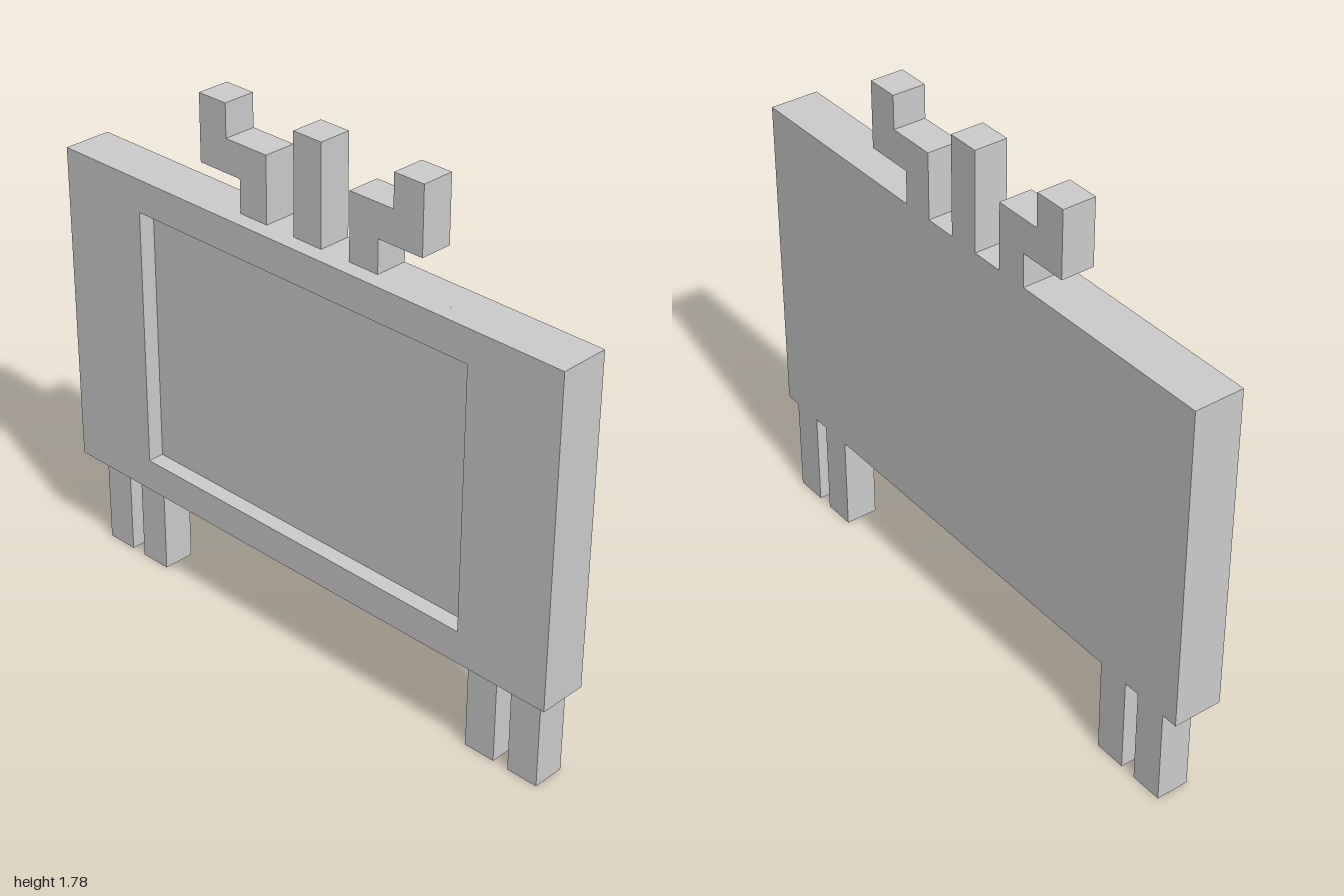
import * as THREE from 'three';

// Everything sits on a grid of 1/18 unit
const U = 1 / 18;
const BACK = -1.5, MID = 0.5, FRONT = 1.5;

const material = new THREE.MeshStandardMaterial({ color: 0xcccccc, flatShading: true });

// Extrudes an outline (grid units) between two depths, with an optional hole
function slab(name, outline, z0, z1, hole) {
  const toPoints = (list) => list.map(([x, y]) => new THREE.Vector2(x * U, y * U));
  const shape = new THREE.Shape(toPoints(outline));
  if (hole) shape.holes.push(new THREE.Path(toPoints(hole)));
  const geometry = new THREE.ExtrudeGeometry(shape, { depth: (z1 - z0) * U, bevelEnabled: false });
  geometry.translate(0, 0, z0 * U);
  const mesh = new THREE.Mesh(geometry, material);
  mesh.name = name;
  return mesh;
}

const rect = (x0, y0, x1, y1) => [[x0, y0], [x1, y0], [x1, y1], [x0, y1]];
const mirror = (outline) => outline.map(([x, y]) => [-x, y]).reverse();

export function createModel() {
  const model = new THREE.Group();
  model.name = 'screenOnLegs';

  // Body: solid back panel with a raised frame around the recessed screen
  const body = rect(-18, 6, 18, 26);
  model.add(slab('backPanel', body, BACK, MID));
  model.add(slab('screenFrame', body, MID, FRONT, rect(-12, 8, 12, 24)));

  // Two pairs of legs, flush with the back
  const innerLeg = rect(12, 0, 14, 6);
  const outerLeg = rect(15, 0, 17, 6);
  // Stepped antenna, mirrored to the other side
  const antenna = [[3, 26], [5, 26], [5, 28], [8, 28], [8, 32], [6, 32], [6, 30], [3, 30]];

  for (const [side, place] of [['left', (o) => o], ['right', mirror]]) {
    model.add(slab(side + 'InnerLeg', place(innerLeg), BACK, MID));
    model.add(slab(side + 'OuterLeg', place(outerLeg), BACK, MID));
    model.add(slab(side + 'Antenna', place(antenna), BACK, MID));
  }

  // Straight antenna in the middle
  model.add(slab('centreAntenna', rect(-1, 26, 1, 32), BACK, MID));

  return model;
}
